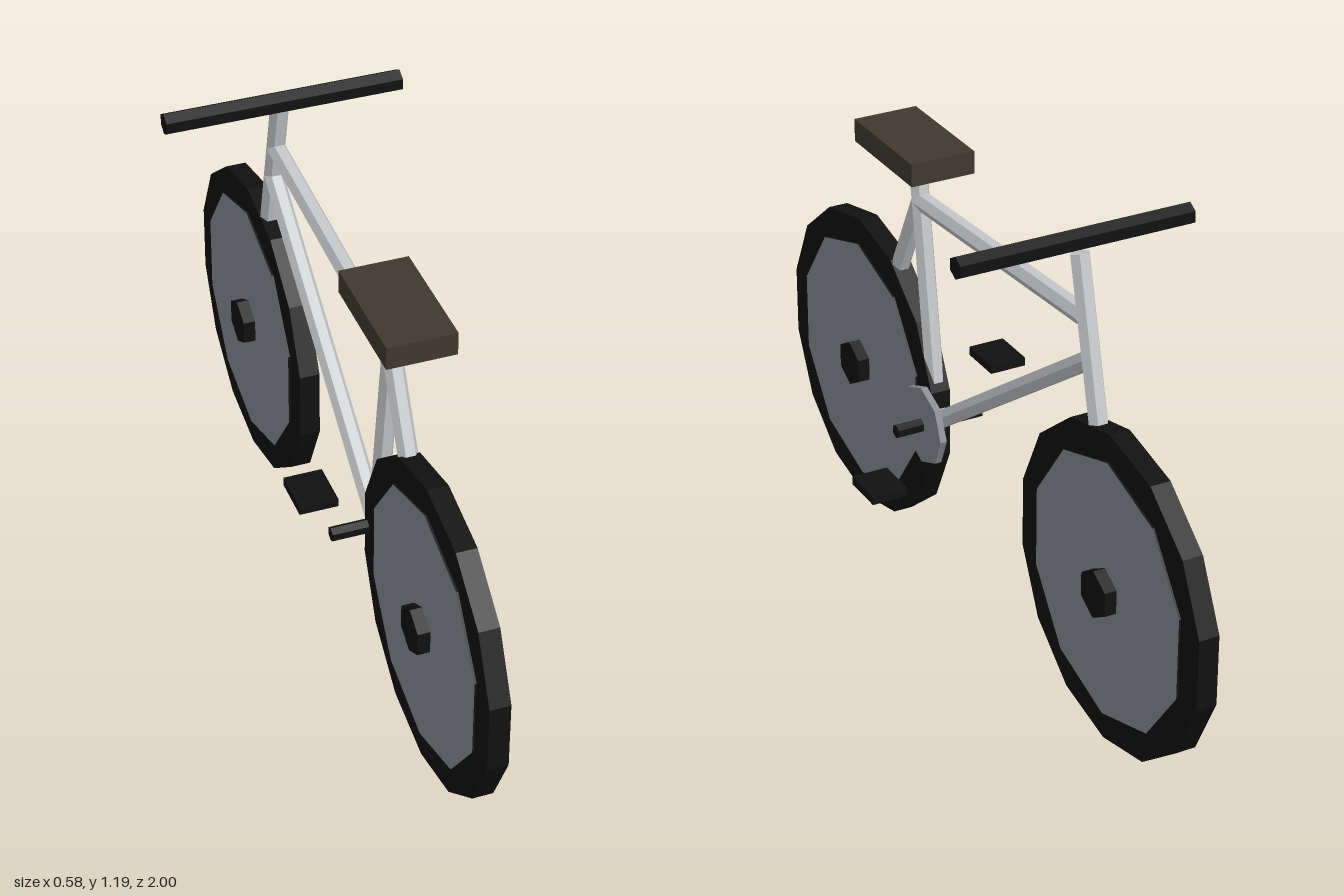
import * as THREE from 'three';

const flat = (name, color) => {
  const m = new THREE.MeshStandardMaterial({ color, flatShading: true });
  m.name = name;
  return m;
};

export function createModel() {
  const bike = new THREE.Group();
  bike.name = 'bicycle';
  const black = flat('black rubber', 0x111111);
  const steel = flat('wheel grey', 0x868c93);
  const silver = flat('frame silver', 0xc6c8cb);
  const brown = flat('saddle brown', 0x40382f);

  const add = (parent, name, geometry, material, x, y, z) => {
    const mesh = new THREE.Mesh(geometry, material);
    mesh.name = name;
    mesh.position.set(x, y, z);
    parent.add(mesh);
    return mesh;
  };

  // Prism lying along x with a corner pointing straight up
  const prism = (radius, width, sides) =>
    new THREE.CylinderGeometry(radius, radius, width, sides).rotateY(Math.PI / 2).rotateZ(Math.PI / 2);

  // Six-sided frame tube between two [y, z] points on the centre plane
  const tube = (name, a, b, radius = 0.024) => {
    const start = new THREE.Vector3(0, ...a), end = new THREE.Vector3(0, ...b);
    const dir = end.clone().sub(start);
    const geometry = new THREE.CylinderGeometry(radius, radius, dir.length(), 6).rotateY(Math.PI / 2);
    const mid = start.add(end).multiplyScalar(0.5);
    add(bike, name, geometry, silver, 0, mid.y, mid.z)
      .quaternion.setFromUnitVectors(new THREE.Vector3(0, 1, 0), dir.normalize());
  };

  const axleY = 0.395, wheelZ = 0.615, crankZ = 0.245;

  // Wheels: tyre, disc with dark edge and grey faces, hub
  for (const [name, z] of [['rearWheel', wheelZ], ['frontWheel', -wheelZ]]) {
    const wheel = new THREE.Group();
    wheel.name = name;
    wheel.position.set(0, axleY, z);
    add(wheel, 'tyre', prism(0.395, 0.05, 14), black, 0, 0, 0);
    add(wheel, 'disc', prism(0.327, 0.06, 10), [black, steel, steel], 0, 0, 0);
    add(wheel, 'hub', prism(0.06, 0.12, 6), black, 0, 0, 0);
    bike.add(wheel);
  }

  // Frame
  const seatJoint = [0.955, 0.325], crank = [axleY, crankZ], rearAxle = [axleY, wheelZ];
  tube('seatTube', seatJoint, crank);
  tube('seatPost', [1.06, 0.34], seatJoint);
  tube('topTube', seatJoint, [1.0, -0.46]);
  tube('downTube', [0.91, -0.487], crank);
  tube('seatStay', seatJoint, rearAxle);
  tube('chainStay', crank, rearAxle, 0.02);
  tube('fork', [1.142, -0.43], [axleY, -wheelZ]);

  // Saddle and handlebar
  add(bike, 'saddle', new THREE.BoxGeometry(0.164, 0.057, 0.3), brown, 0, 1.082, 0.358);
  add(bike, 'handlebar', prism(0.027, 0.58, 6), black, 0, 1.162, -0.407);

  // Crankset and pedals
  add(bike, 'chainring', prism(0.102, 0.017, 8), steel, 0.0375, axleY, crankZ);
  add(bike, 'crankAxle', prism(0.018, 0.23, 6), black, 0, axleY, crankZ);
  for (const side of [-1, 1]) {
    add(bike, side > 0 ? 'leftPedal' : 'rightPedal', new THREE.BoxGeometry(0.093, 0.022, 0.113),
      black, side * 0.162, axleY - side * 0.139, 0.243);
  }
  return bike;
}
